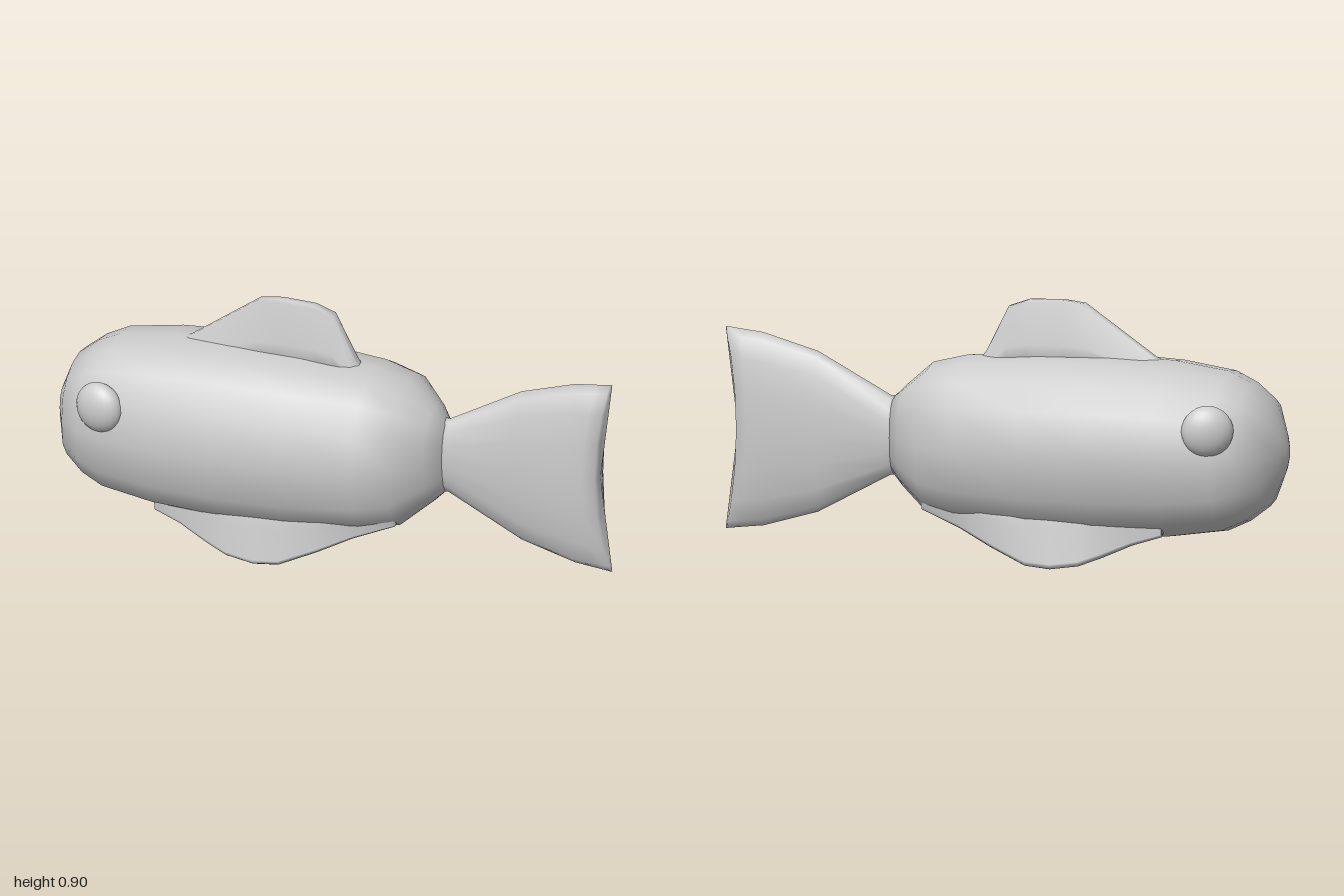
import * as THREE from 'three';

const MID_Y = 0.4;
const material = new THREE.MeshStandardMaterial({ color: 0xcccccc });

// Skin a list of closed rings running along +x, with a fan closing each end
function loft(name, rings) {
  const n = rings[0].length;
  const pos = rings.flat(2);
  const index = [];
  for (let i = 0; i < rings.length - 1; i++) {
    for (let j = 0; j < n; j++) {
      const k = (j + 1) % n;
      const a = i * n + j, b = (i + 1) * n + j, c = i * n + k, d = (i + 1) * n + k;
      index.push(a, b, c, b, d, c);
    }
  }
  [0, rings.length - 1].forEach((r) => {
    const centre = pos.length / 3;
    // the average of upper and lower midpoints keeps the cap on the ring's waist
    const left = rings[r][0], right = rings[r][n / 2 | 0];
    pos.push((left[0] + right[0]) / 2, (left[1] + right[1]) / 2, (left[2] + right[2]) / 2);
    for (let j = 0; j < n; j++) {
      const p = r * n + j, q = r * n + (j + 1) % n;
      if (r === 0) index.push(centre, p, q);
      else index.push(centre, q, p);
    }
  });
  const geo = new THREE.BufferGeometry();
  geo.setAttribute('position', new THREE.Float32BufferAttribute(pos, 3));
  geo.setIndex(index);
  geo.computeVertexNormals();
  const mesh = new THREE.Mesh(geo, material);
  mesh.name = name;
  return mesh;
}

// 16-sided ring; square > 0 fills out the upper and lower shoulders
function ring(x, halfHeight, halfWidth, square = 0, bend = 0) {
  return Array.from({ length: 16 }, (_, j) => {
    const a = (j / 16) * Math.PI * 2;
    const s = Math.sin(a);
    const v = Math.sign(s) * Math.pow(Math.abs(s), 1 - square);
    return [x + bend * v * v, MID_Y + v * halfHeight, Math.cos(a) * halfWidth];
  });
}

// Upright fin: stations are [x, height, thickness scale]; widths are half thicknesses
function fin(name, stations, [base, mid, tip], midAt) {
  return loft(name, stations.map(([x, h, s]) => [
    [x, 0, base * s], [x, h * midAt, mid * s], [x, h * 0.96, tip * s], [x, h, tip * s * 0.6],
    [x, h, -tip * s * 0.6], [x, h * 0.96, -tip * s], [x, h * midAt, -mid * s], [x, 0, -base * s],
  ]));
}

export function createModel() {
  const fish = new THREE.Group();
  fish.name = 'fish';

  // Body: [x, half height, half width]
  const bodyStations = [
    [-1, 0.03, 0.03], [-0.985, 0.08, 0.075], [-0.94, 0.185, 0.185], [-0.87, 0.24, 0.24],
    [-0.79, 0.278, 0.272], [-0.6, 0.306, 0.306], [-0.36, 0.318, 0.321], [-0.12, 0.313, 0.315],
    [0.14, 0.292, 0.277], [0.26, 0.262, 0.237], [0.355, 0.178, 0.138], [0.4, 0.133, 0.066],
  ];
  fish.add(loft('body', bodyStations.map(([x, h, w]) => ring(x, h, w, 0.25))));

  // Tail fin: [x, half height, half width, backward sweep of the tips]
  const tailStations = [
    [0.37, 0.14, 0.07, 0], [0.41, 0.138, 0.062, 0], [0.66, 0.28, 0.058, 0.01],
    [0.84, 0.337, 0.063, 0.025], [0.91, 0.346, 0.064, 0.035], [0.95, 0.352, 0.045, 0.043],
    [0.956, 0.352, 0.02, 0.043],
  ];
  fish.add(loft('tailFin', tailStations.map(([x, h, w, bend]) => ring(x, h, w, 0, bend))));

  // Dorsal fin
  const dorsal = fin('dorsalFin', [
    [-0.6, 0.06, 0.5], [-0.53, 0.095, 0.9], [-0.28, 0.27, 1], [-0.2, 0.28, 1],
    [-0.08, 0.275, 1], [-0.01, 0.25, 1], [0.07, 0.09, 0.9], [0.12, 0.03, 0.5],
  ], [0.06, 0.045, 0.019], 0.45);
  dorsal.position.y = 0.62;
  fish.add(dorsal);

  // Paired belly fins and eyes
  for (const side of [1, -1]) {
    const label = side > 0 ? 'Left' : 'Right';
    const belly = fin('bellyFin' + label, [
      [-0.6, 0.09, 0.7], [-0.5, 0.125, 0.85], [-0.4, 0.175, 1], [-0.32, 0.21, 1], [-0.22, 0.226, 1],
      [-0.13, 0.217, 1], [0.0, 0.155, 0.95], [0.12, 0.09, 0.8], [0.26, 0.03, 0.5],
    ], [0.095, 0.05, 0.012], 0.5);
    belly.position.set(0, 0.2, side * 0.14);
    belly.rotation.x = side * THREE.MathUtils.degToRad(149);
    fish.add(belly);

    const eye = new THREE.Mesh(new THREE.SphereGeometry(1, 20, 14), material);
    eye.name = 'eye' + label;
    eye.scale.set(0.09, 0.09, 0.053);
    eye.position.set(-0.78, 0.508, side * 0.248);
    eye.rotation.y = -side * 0.28;
    fish.add(eye);
  }
  return fish;
}
